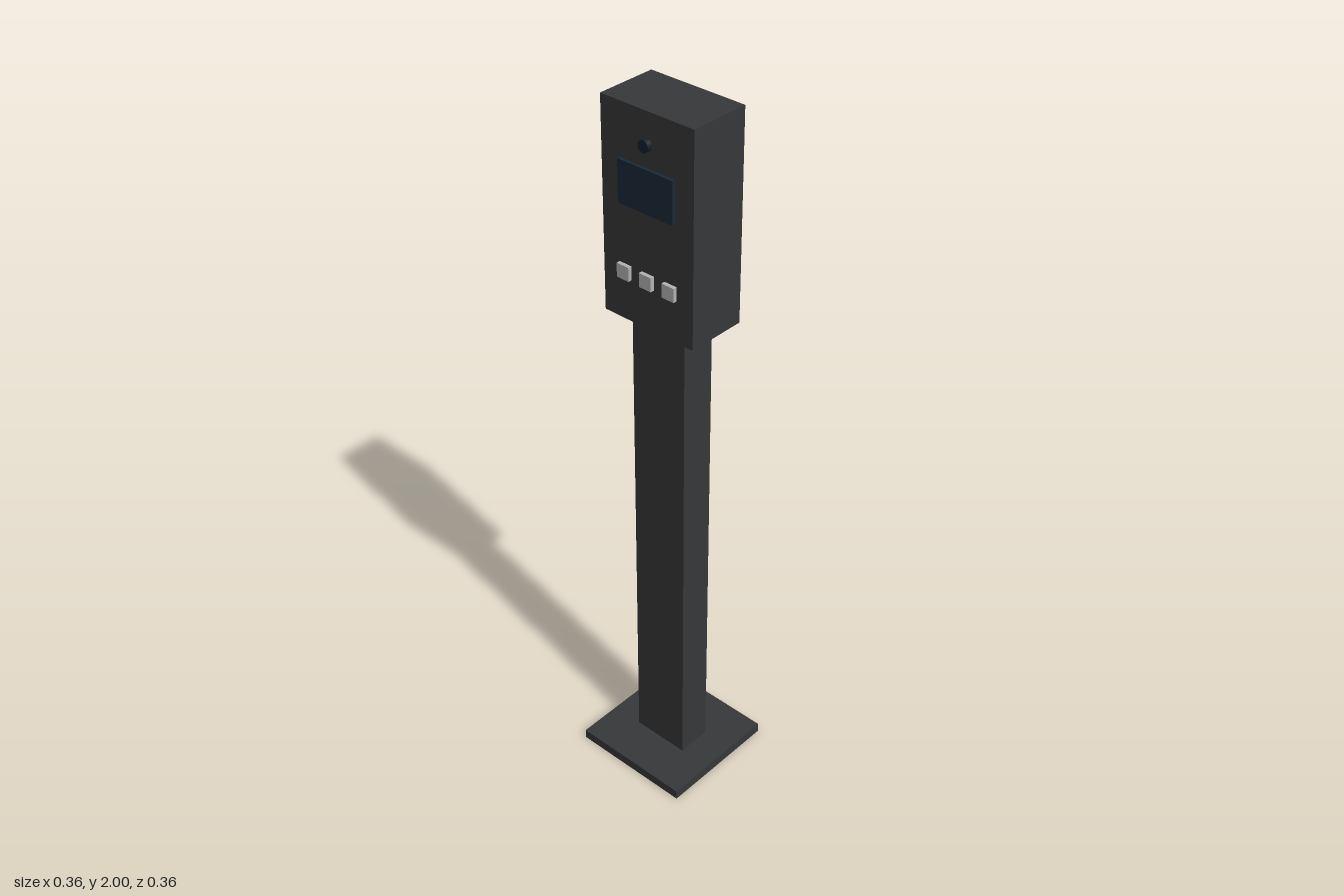
import * as THREE from 'three';

export function createModel() {
  const group = new THREE.Group();
  const body = new THREE.MeshStandardMaterial({ color: 0x37383a });
  const glass = new THREE.MeshStandardMaterial({ color: 0x1a2a3a });
  const lensMat = new THREE.MeshStandardMaterial({ color: 0x16202c });
  const buttonMat = new THREE.MeshStandardMaterial({ color: 0xb4b4b4 });

  const add = (name, geometry, material, x, y, z) => {
    const mesh = new THREE.Mesh(geometry, material);
    mesh.name = name;
    mesh.position.set(x, y, z);
    group.add(mesh);
    return mesh;
  };
  // Box given by its size, bottom height and centre depth
  const box = (name, w, h, d, material, x, bottom, z) =>
    add(name, new THREE.BoxGeometry(w, h, d), material, x, bottom + h / 2, z);

  // Stand
  box('basePlate', 0.356, 0.028, 0.356, body, 0, 0, 0);
  box('column', 0.17, 1.405, 0.1, body, 0, 0.028, 0);

  // Terminal housing
  box('housing', 0.284, 0.567, 0.17, body, 0, 1.433, 0);

  // Display and camera on the front face
  box('screen', 0.17, 0.113, 0.014, glass, 0, 1.747, 0.086);
  const lens = add('cameraLens', new THREE.CylinderGeometry(0.016, 0.016, 0.02, 24), lensMat, 0, 1.918, 0.088);
  lens.rotation.x = Math.PI / 2;

  // Row of three push buttons
  for (const i of [-1, 0, 1]) {
    box('button', 0.038, 0.038, 0.02, buttonMat, i * 0.072, 1.548, 0.086);
  }
  return group;
}
